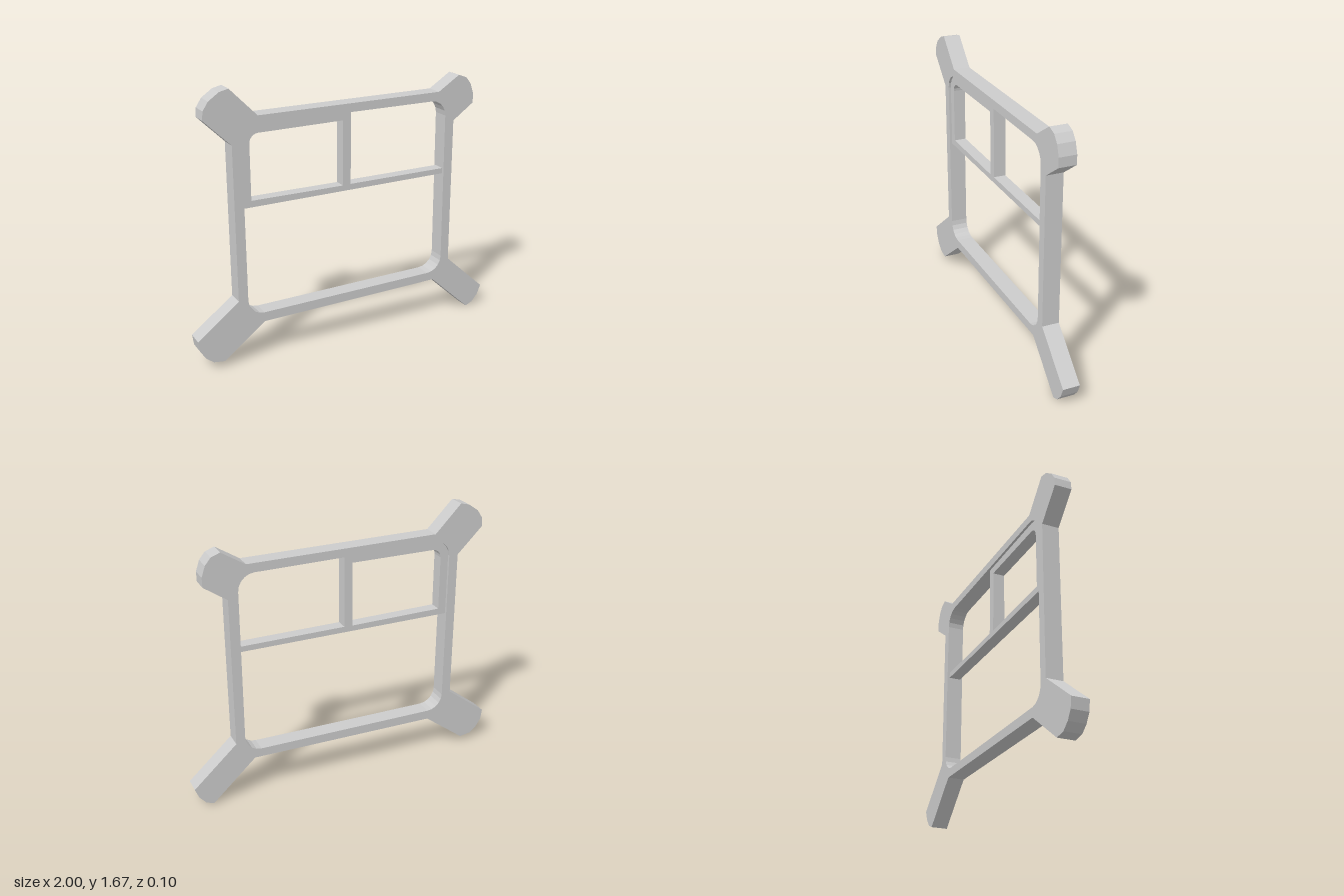
import * as THREE from 'three';

const material = new THREE.MeshStandardMaterial({ color: 0xcccccc, flatShading: true });
const toVectors = (pts) => pts.map(([x, y]) => new THREE.Vector2(x, y));

// Polygon with its corners rounded by a few flat facets; corners are [x, y, radius]
function rounded(corners, steps = 5) {
  const out = [];
  corners.forEach(([x, y, r = 0], i) => {
    const c = new THREE.Vector2(x, y);
    if (!r) { out.push(c); return; }
    const toward = (k) => {
      const [px, py] = corners[(i + k + corners.length) % corners.length];
      return new THREE.Vector2(px, py).sub(c).setLength(r).add(c);
    };
    // control points pulled close to a circular arc
    const a = toward(-1), b = toward(1);
    const curve = new THREE.CubicBezierCurve(a, a.clone().lerp(c, 0.55), b.clone().lerp(c, 0.55), b);
    out.push(...curve.getPoints(steps));
  });
  return out;
}

// Flat plate with holes, centred on z = 0
function plate(name, outline, holes, depth) {
  const shape = new THREE.Shape(outline);
  holes.forEach((h) => shape.holes.push(new THREE.Path(h)));
  const geometry = new THREE.ExtrudeGeometry(shape, { depth, bevelEnabled: false });
  geometry.translate(0, 0, -depth / 2);
  const mesh = new THREE.Mesh(geometry, material);
  mesh.name = name;
  return mesh;
}

export function createModel() {
  const group = new THREE.Group();
  group.name = 'windowFrame';

  // Outer frame with four splayed, round-ended corner arms
  const outline = toVectors([
    // upper right arm
    [-0.58, 1.5], [-0.745, 1.668], [-0.8, 1.655], [-0.865, 1.61], [-0.898, 1.56], [-0.903, 1.508], [-0.74, 1.348],
    // lower right arm
    [-0.738, 0.4], [-1, 0.2], [-0.99, 0.135], [-0.957, 0.083], [-0.91, 0.045], [-0.84, 0.035], [-0.578, 0.235],
    // lower left arm
    [0.613, 0.253], [0.888, 0], [0.935, 0.02], [0.975, 0.066], [1, 0.128], [0.727, 0.377],
    // upper left arm
    [0.727, 1.307], [0.866, 1.404], [0.867, 1.462], [0.845, 1.527], [0.81, 1.57], [0.755, 1.59], [0.613, 1.5],
  ]);
  const opening = rounded([
    [-0.678, 0.293, 0.1], [0.67, 0.308, 0.1], [0.665, 1.445, 0.1], [-0.682, 1.45, 0.1],
  ]);
  group.add(plate('outerFrame', outline, [opening], 0.105));

  // Recessed inner sash: crossbar, divider and window surround in one outline
  const sash = rounded([
    [-0.683, 0.963], [0.668, 0.968], [0.668, 1.002], [0.012, 1.002], [0.012, 1.447], [-0.682, 1.45, 0.1],
  ]);
  const pane = rounded([
    [-0.63, 1.003], [-0.04, 1.0], [-0.04, 1.4], [-0.63, 1.396, 0.055],
  ]);
  group.add(plate('innerSash', sash, [pane], 0.075));

  return group;
}
